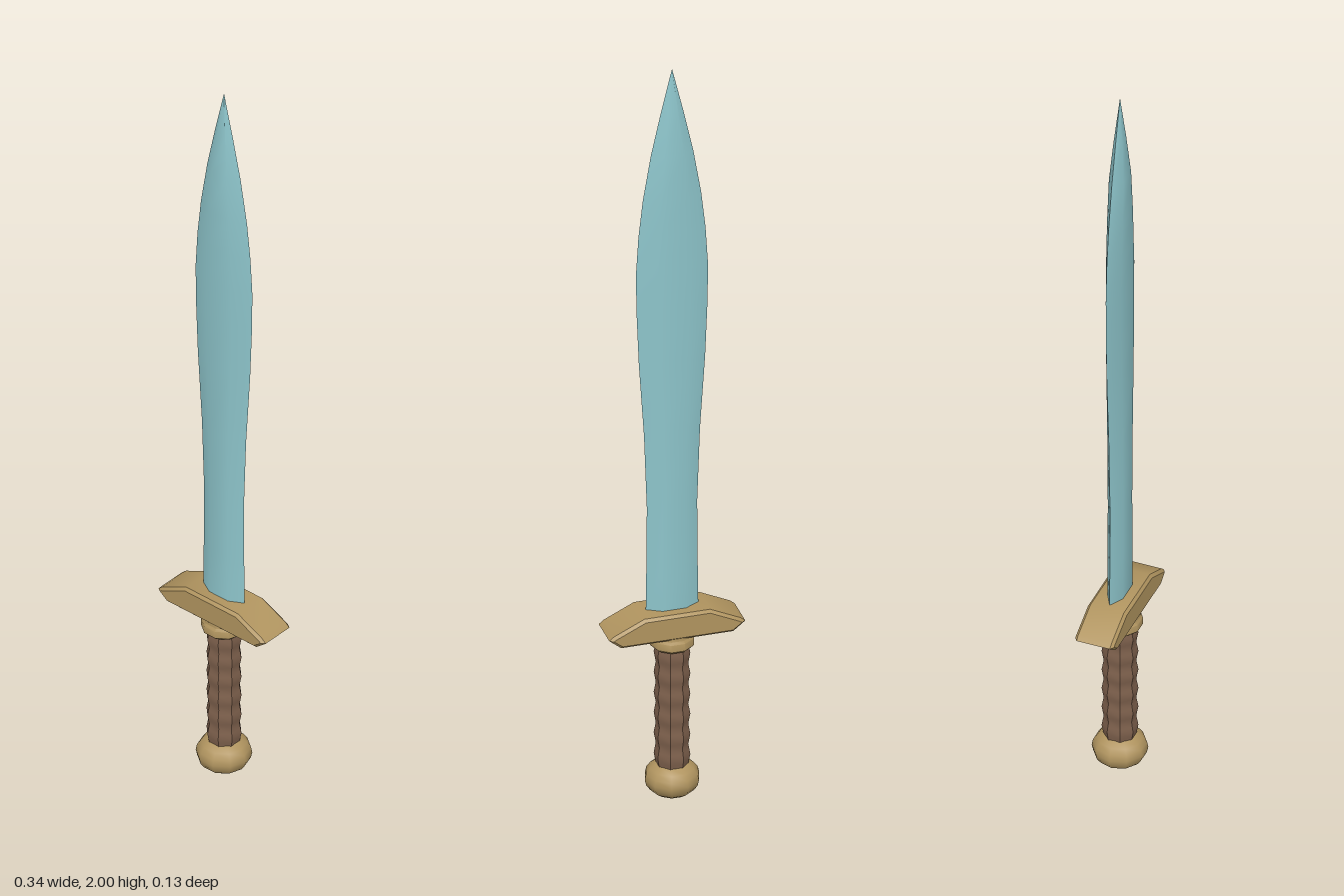
import * as THREE from 'three';
import { toCreasedNormals } from 'three/addons/utils/BufferGeometryUtils.js';

// Hexagonal cross-sections [y, half width, half thickness] lofted up to a point
function bladeGeometry() {
  const rows = [
    [0.5, 0.066, 0.02], [0.65, 0.064, 0.02], [0.8, 0.063, 0.02], [1.0, 0.07, 0.02],
    [1.2, 0.083, 0.02], [1.35, 0.089, 0.02], [1.45, 0.09, 0.02], [1.55, 0.084, 0.02],
    [1.65, 0.073, 0.02], [1.77, 0.053, 0.019], [1.88, 0.029, 0.011], [2.0, 0.0005, 0.0005],
  ];
  const ring = [[1, 0], [0.45, 1], [-0.45, 1], [-1, 0], [-0.45, -1], [0.45, -1]];
  const positions = [], index = [];
  for (const [y, w, t] of rows) for (const [x, z] of ring) positions.push(x * w, y, z * t);
  for (let r = 0; r < rows.length - 1; r++) {
    for (let i = 0; i < 6; i++) {
      const a = r * 6 + i, b = r * 6 + (i + 1) % 6;
      index.push(a, a + 6, b, b, a + 6, b + 6);
    }
  }
  const top = (rows.length - 1) * 6;
  for (let i = 1; i < 5; i++) {
    index.push(0, i, i + 1);
    index.push(top, top + i + 1, top + i);
  }
  const g = new THREE.BufferGeometry();
  g.setAttribute('position', new THREE.Float32BufferAttribute(positions, 3));
  g.setIndex(index);
  return toCreasedNormals(g, 0.9);
}

// Angular crossguard outline with chamfered front and back edges
function guardGeometry() {
  const bevel = 0.007, depth = 0.1;
  const shape = new THREE.Shape([
    [-0.14, 0.45], [0.14, 0.45], [0.17, 0.474], [0.158, 0.484], [0.082, 0.52],
    [-0.082, 0.52], [-0.158, 0.484], [-0.17, 0.474],
  ].map(([x, y]) => new THREE.Vector2(x, y)));
  const g = new THREE.ExtrudeGeometry(shape, {
    depth: depth - 2 * bevel, bevelEnabled: true, bevelSegments: 1,
    bevelThickness: bevel, bevelSize: bevel, bevelOffset: -bevel,
  });
  g.translate(0, 0, bevel - depth / 2);
  return toCreasedNormals(g, 0.5);
}

const lathe = (points, sides, start = 0) =>
  new THREE.LatheGeometry(points.map(([r, y]) => new THREE.Vector2(r, y)), sides, start);

export function createModel() {
  const bladeSteel = new THREE.MeshStandardMaterial({ color: 0x8dc4ca });
  bladeSteel.name = 'blade steel';
  const brass = new THREE.MeshStandardMaterial({ color: 0xb0945f });
  brass.name = 'brass';
  const leather = new THREE.MeshStandardMaterial({ color: 0x7d604c });
  leather.name = 'leather';

  const model = new THREE.Group();
  model.name = 'sword';
  const add = (name, geometry, material) => {
    const mesh = new THREE.Mesh(geometry, material);
    mesh.name = name;
    model.add(mesh);
    return mesh;
  };

  add('blade', bladeGeometry(), bladeSteel);
  add('crossguard', guardGeometry(), brass);

  // Chamfered ring under the guard
  const collar = lathe([[0, 0.414], [0.048, 0.414], [0.055, 0.421], [0.055, 0.44], [0.05, 0.446], [0.05, 0.455]], 10, Math.PI / 2);
  add('collar', toCreasedNormals(collar, 0.7), brass);

  // Eight-sided grip with shallow wrapped ridges
  const waves = 6, steps = waves * 4, profile = [];
  for (let i = 0; i <= steps; i++) {
    const t = i / steps;
    profile.push([0.0415 - 0.0025 * Math.cos(t * waves * Math.PI * 2), 0.085 + t * 0.335]);
  }
  add('grip', toCreasedNormals(lathe(profile, 8, Math.PI / 8), 0.5), leather);

  // Flattened ball
  const pommel = add('pommel', new THREE.SphereGeometry(0.068, 10, 10), brass);
  pommel.scale.y = 0.72;
  pommel.position.y = 0.05;

  return model;
}
